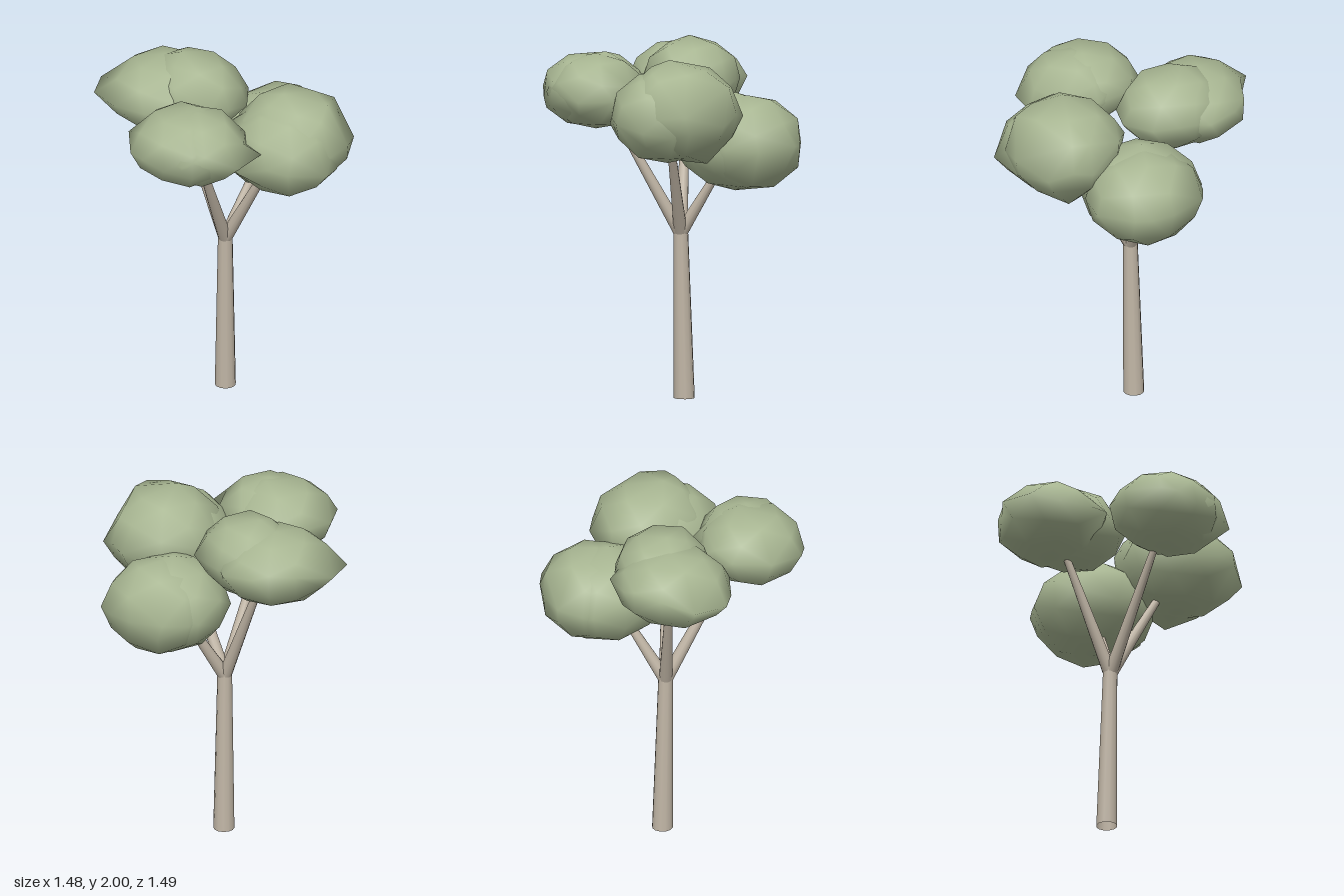
import * as THREE from 'three';
import { mergeVertices } from 'three/addons/utils/BufferGeometryUtils.js';

const bark = new THREE.MeshStandardMaterial({ color: 0xc1b6a6, side: THREE.DoubleSide });
bark.name = 'bark';
const leaf = new THREE.MeshStandardMaterial({ color: 0xa8b692 });
leaf.name = 'leaf';

// Tapered round limb between two points, open at both ends
function limb(name, from, to, r0, r1) {
  const a = new THREE.Vector3(...from), b = new THREE.Vector3(...to);
  const dir = b.clone().sub(a);
  const length = dir.length();
  const turn = new THREE.Quaternion().setFromUnitVectors(new THREE.Vector3(0, 1, 0), dir.normalize());
  const geo = new THREE.CylinderGeometry(r1, r0, length, 12, 1, true);
  geo.translate(0, length / 2, 0).applyQuaternion(turn).translate(...from);
  const mesh = new THREE.Mesh(geo, bark);
  mesh.name = name;
  return mesh;
}

// Coarse foliage lump shaded like an ellipsoid; each peak pulls the closest vertex onto it
function lump(centre, radii, peaks) {
  let geo = new THREE.IcosahedronGeometry(1, 1);
  geo.deleteAttribute('uv');
  geo.deleteAttribute('normal');
  geo = mergeVertices(geo, 1e-3);
  const pos = geo.attributes.position;
  const c = new THREE.Vector3(...centre), r = new THREE.Vector3(...radii);
  const v = new THREE.Vector3(), normals = [];
  for (let i = 0; i < pos.count; i++) {
    v.fromBufferAttribute(pos, i);
    const wobble = 1 + 0.02 * Math.sin(i * 2.4 + centre[0] * 20);
    v.multiplyScalar(wobble).multiply(r).add(c);
    pos.setXYZ(i, v.x, v.y, v.z);
  }
  const taken = new Set();
  for (const peak of peaks) {
    const p = new THREE.Vector3(...peak);
    let best = -1, bestDist = Infinity;
    for (let i = 0; i < pos.count; i++) {
      const d = v.fromBufferAttribute(pos, i).distanceTo(p);
      if (d < bestDist && !taken.has(i)) { bestDist = d; best = i; }
    }
    taken.add(best);
    pos.setXYZ(best, p.x, p.y, p.z);
  }
  for (let i = 0; i < pos.count; i++) {
    v.fromBufferAttribute(pos, i).sub(c).divide(r).divide(r).normalize();
    normals.push(v.x, v.y, v.z);
  }
  geo.setAttribute('normal', new THREE.Float32BufferAttribute(normals, 3));
  return new THREE.Mesh(geo, leaf);
}

// Foliage clusters: branch tip, then overlapping lumps [centre, radii, peaks]
const clusters = {
  left: {
    tip: [-0.39, 1.76, 0.18],
    lumps: [
      [[-0.43, 1.745, 0.16], [0.3, 0.215, 0.31],
        [[-0.74, 1.75, 0.06], [-0.61, 1.77, -0.12], [-0.68, 1.7, 0.28], [-0.39, 1.77, -0.15],
          [-0.21, 1.77, -0.07], [-0.35, 1.96, 0.17], [-0.58, 1.93, 0.16]]],
      [[-0.39, 1.745, 0.22], [0.27, 0.21, 0.29],
        [[-0.36, 1.72, 0.55], [-0.16, 1.73, 0.5], [-0.54, 1.74, 0.42], [-0.11, 1.77, 0.12],
          [-0.22, 1.92, 0.22], [-0.13, 1.79, 0.32]]],
    ],
  },
  front: {
    tip: [0.1, 1.65, 0.36],
    lumps: [
      [[0.18, 1.68, 0.36], [0.33, 0.28, 0.34],
        [[0.51, 1.66, 0.25], [0.5, 1.63, 0.5], [0.47, 1.83, 0.36], [0.34, 1.395, 0.36],
          [0.12, 1.7, 0.01], [0.11, 1.965, 0.36], [0.33, 1.69, 0.66], [0.33, 1.915, 0.36],
          [0.16, 1.88, 0.63]]],
      [[0.1, 1.65, 0.38], [0.31, 0.265, 0.33],
        [[-0.24, 1.59, 0.38], [0.11, 1.6, 0.745], [-0.09, 1.63, 0.65], [0.1, 1.385, 0.36],
          [-0.1, 1.7, 0.06]]],
    ],
  },
  right: {
    tip: [0.34, 1.46, -0.05],
    lumps: [
      [[0.41, 1.46, -0.05], [0.32, 0.27, 0.33],
        [[0.74, 1.47, 0.05], [0.68, 1.46, -0.18], [0.56, 1.48, -0.36], [0.6, 1.45, 0.24],
          [0.34, 1.19, -0.04], [0.55, 1.71, -0.05], [0.57, 1.22, -0.05]]],
      [[0.34, 1.46, -0.045], [0.32, 0.27, 0.335],
        [[0.0, 1.39, 0.0], [0.35, 1.46, -0.39], [0.3, 1.45, 0.29], [0.34, 1.74, -0.05]]],
    ],
  },
  back: {
    tip: [-0.09, 1.76, -0.39],
    lumps: [
      [[-0.02, 1.77, -0.28], [0.27, 0.23, 0.31],
        [[0.12, 1.75, 0.02], [0.25, 1.76, -0.13], [0.23, 1.77, -0.38], [-0.12, 1.78, -0.01],
          [-0.06, 2.0, -0.34]]],
      [[-0.11, 1.75, -0.42], [0.33, 0.215, 0.31],
        [[-0.31, 1.76, -0.745], [-0.46, 1.76, -0.62], [-0.45, 1.74, -0.45], [-0.34, 1.75, -0.15],
          [-0.1, 1.78, -0.69], [0.13, 1.78, -0.61], [0.24, 1.77, -0.46], [-0.1, 1.96, -0.44]]],
    ],
  },
};

export function createModel() {
  const tree = new THREE.Group();
  tree.name = 'tree';

  // Trunk leans slightly toward its fork, with its foot cut level
  const trunk = limb('trunk', [0.027, 0, -0.057], [0.013, 0.95, -0.04], 0.059, 0.041);
  const p = trunk.geometry.attributes.position;
  for (let i = 0; i < p.count; i++) if (p.getY(i) < 0.02) p.setY(i, 0);
  tree.add(trunk);

  // One branch and one foliage cluster in each direction
  for (const [side, { tip, lumps }] of Object.entries(clusters)) {
    tree.add(limb(side + 'Branch', [0.013, 0.93, -0.04], tip, 0.038, 0.015));
    const foliage = new THREE.Group();
    foliage.name = side + 'Foliage';
    lumps.forEach((args, i) => {
      const mesh = lump(...args);
      mesh.name = side + 'Lump' + (i + 1);
      foliage.add(mesh);
    });
    tree.add(foliage);
  }
  return tree;
}
